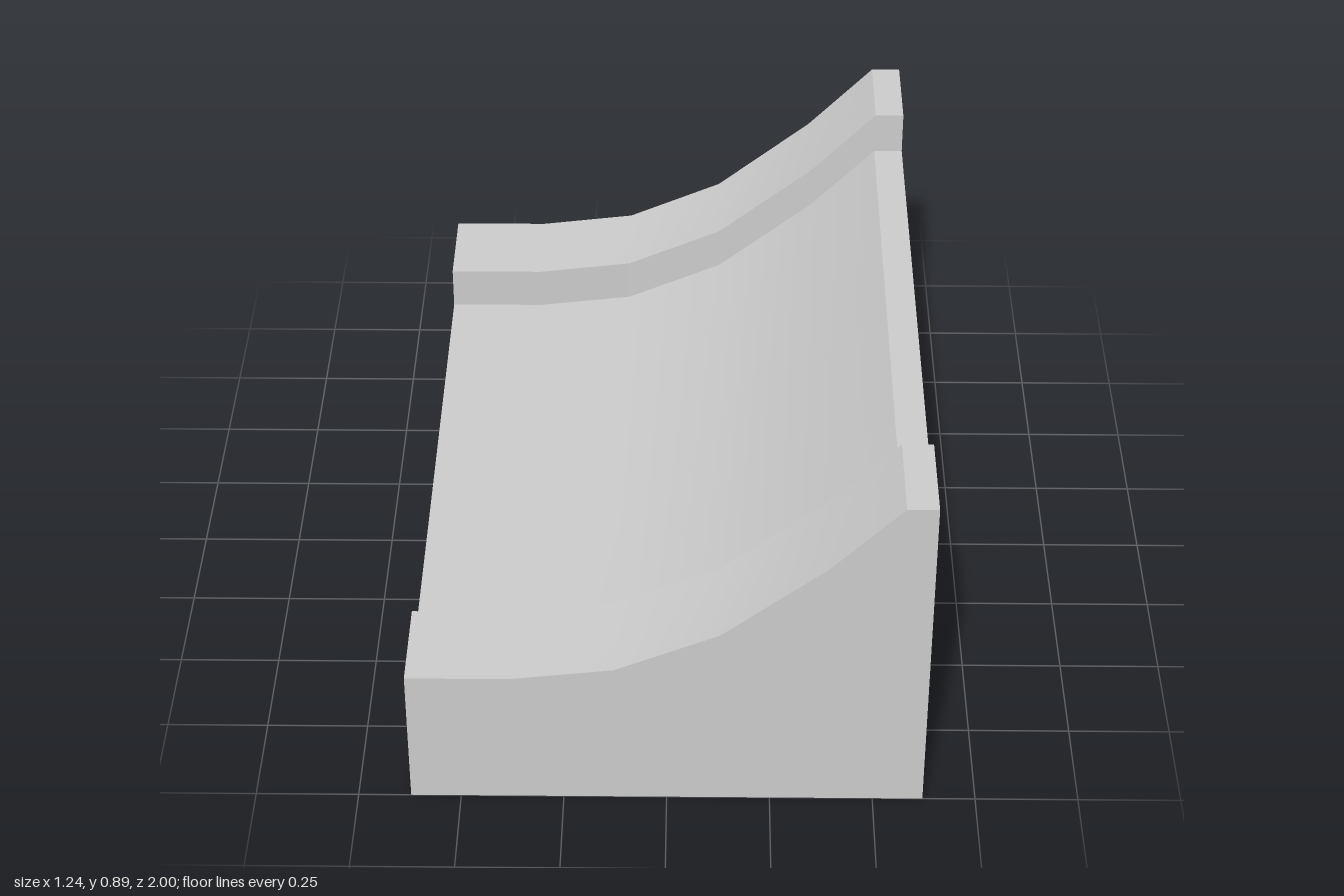
import * as THREE from 'three';
import { toCreasedNormals } from 'three/addons/utils/BufferGeometryUtils.js';

// Rim profile from the low edge (-x) to the high edge (+x): [x, height]
const PROFILE = [
  [-0.622, 0.372], [-0.375, 0.372], [-0.125, 0.402], [0.125, 0.51],
  [0.375, 0.71], [0.547, 0.886], [0.622, 0.886],
];
const TROUGH_DEPTH = 0.112;
const HALF_LENGTH = 1;
const HALF_TROUGH = 0.75;

// Lengthwise section at the low edge: a block with a raised curb at each end
function endSection() {
  const rim = PROFILE[0][1];
  const floor = rim - TROUGH_DEPTH;
  return new THREE.Shape([
    [-HALF_LENGTH, 0], [HALF_LENGTH, 0], [HALF_LENGTH, rim], [HALF_TROUGH, rim],
    [HALF_TROUGH, floor], [-HALF_TROUGH, floor], [-HALF_TROUGH, rim], [-HALF_LENGTH, rim],
  ].map(([x, y]) => new THREE.Vector2(x, y)));
}

// Extrude one step per profile station, then lift everything above the base to the curve
function cradleGeometry() {
  const steps = PROFILE.length - 1;
  const geometry = new THREE.ExtrudeGeometry(endSection(), { depth: steps, steps, bevelEnabled: false });
  geometry.rotateY(Math.PI / 2);
  const pos = geometry.attributes.position;
  for (let i = 0; i < pos.count; i++) {
    const [x, height] = PROFILE[Math.round(pos.getX(i))];
    const y = pos.getY(i);
    pos.setX(i, x);
    if (y > 0.01) pos.setY(i, y + height - PROFILE[0][1]);
  }
  // Smooth along the curve, sharp at the corners
  return toCreasedNormals(geometry, Math.PI / 6);
}

export function createModel() {
  const model = new THREE.Group();
  model.name = 'curvedCradle';

  const block = new THREE.Mesh(cradleGeometry(), new THREE.MeshStandardMaterial({ color: 0xcccccc }));
  block.name = 'cradleBlock';
  model.add(block);

  return model;
}
